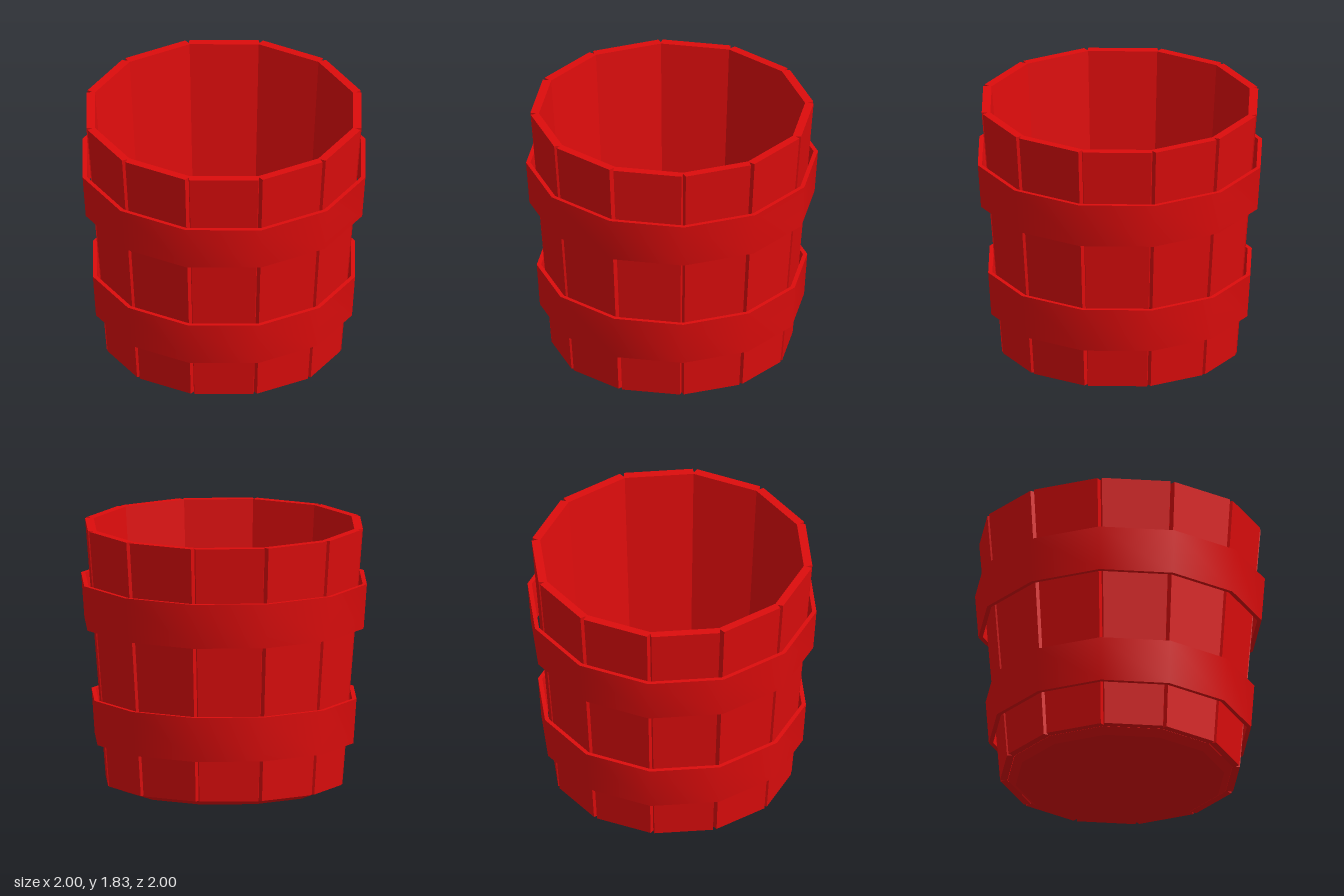
import * as THREE from 'three';
import { toCreasedNormals } from 'three/addons/utils/BufferGeometryUtils.js';

const SIDES = 12;
const HALF = Math.PI / SIDES;
const BOTTOM = 0.05, TOP = 1.83, TAPER = 0.852;

const flat = new THREE.MeshStandardMaterial({ color: 0xdd0c0c, flatShading: true });
const smooth = new THREE.MeshStandardMaterial({ color: 0xdd0c0c });

// Plank with cut outer corners, narrowing towards the bottom
function staveGeometry() {
  const at = (r, cut = 0) => [r * Math.sin(HALF) - cut, r * Math.cos(HALF)];
  const right = [at(0.912), at(0.93), at(0.973, 0.016)];
  const left = right.map(([x, y]) => [-x, y]).reverse();
  const shape = new THREE.Shape([...right, ...left].map(([x, y]) => new THREE.Vector2(x, y)));
  const geo = new THREE.ExtrudeGeometry(shape, { depth: TOP - BOTTOM, bevelEnabled: false });
  geo.rotateX(-Math.PI / 2).translate(0, BOTTOM, 0);
  const p = geo.attributes.position;
  for (let i = 0; i < p.count; i++) {
    const s = THREE.MathUtils.mapLinear(p.getY(i), BOTTOM, TOP, TAPER, 1);
    p.setX(i, p.getX(i) * s);
    p.setZ(i, p.getZ(i) * s);
  }
  geo.computeVertexNormals();
  return geo;
}

function lathe(profile) {
  return new THREE.LatheGeometry(profile.map(([r, y]) => new THREE.Vector2(r, y)), SIDES);
}

// Sloping band around the staves, soft around the side and sharp at its rims
function makeHoop(name, y0, r0, y1, r1) {
  const t = 0.03;
  const geo = lathe([[r0 - t, y0], [r0, y0], [r1, y1], [r1 - t, y1], [r0 - t, y0]]);
  const mesh = new THREE.Mesh(toCreasedNormals(geo, THREE.MathUtils.degToRad(40)), smooth);
  mesh.name = name;
  return mesh;
}

export function createModel() {
  const model = new THREE.Group();
  model.name = 'bucket';

  // Ring of staves
  const staves = new THREE.Group();
  staves.name = 'staves';
  const plank = staveGeometry();
  for (let i = 0; i < SIDES; i++) {
    const stave = new THREE.Mesh(plank, flat);
    stave.name = 'stave';
    stave.rotation.y = HALF * (2 * i + 1);
    staves.add(stave);
  }
  model.add(staves);

  // Hoops
  model.add(makeHoop('lowerHoop', 0.34, 0.905, 0.65, 0.927));
  model.add(makeHoop('upperHoop', 1.14, 0.977, 1.45, 1.0));

  // Base plate with a bevelled underside and a raised rim around the floor
  const base = new THREE.Mesh(lathe([
    [0, 0], [0.36, 0], [0.72, 0.01], [0.775, 0.05], [0.745, 0.09], [0.7, 0.05], [0, 0.05],
  ]), flat);
  base.name = 'base';
  model.add(base);

  return model;
}
